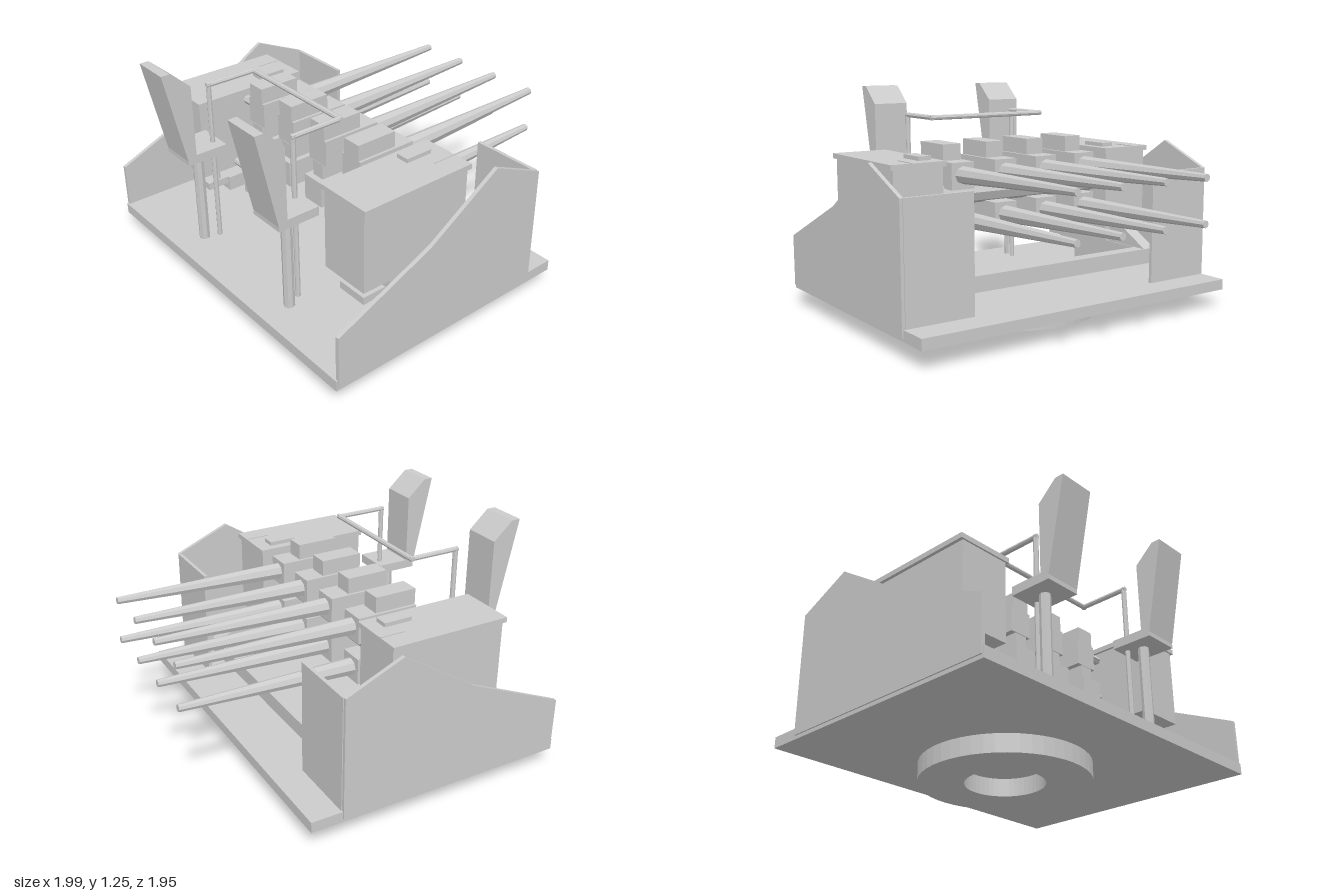
import * as THREE from 'three';

const mat = new THREE.MeshStandardMaterial({ color: 0xcccccc, flatShading: true });

export function createModel() {
  const root = new THREE.Group();

  const add = (name, geo) => {
    const m = new THREE.Mesh(geo, mat);
    m.name = name;
    root.add(m);
    return m;
  };
  // Box from its extents on each axis
  const box = (name, x0, x1, y0, y1, z0, z1) => {
    const m = add(name, new THREE.BoxGeometry(Math.abs(x1 - x0), y1 - y0, z1 - z0));
    m.position.set((x0 + x1) / 2, (y0 + y1) / 2, (z0 + z1) / 2);
    return m;
  };
  // Tapered rod between two points
  const rod = (name, a, b, r0, r1 = r0, sides = 8) => {
    const A = new THREE.Vector3(...a), B = new THREE.Vector3(...b);
    const d = B.clone().sub(A);
    const m = add(name, new THREE.CylinderGeometry(r1, r0, d.length(), sides));
    m.position.copy(A).add(B).multiplyScalar(0.5);
    m.quaternion.setFromUnitVectors(new THREE.Vector3(0, 1, 0), d.normalize());
    return m;
  };
  // Profile given as (z, y) pairs, extruded from x0 to x1
  const slab = (name, pts, x0, x1) => {
    const shape = new THREE.Shape(pts.map(([z, y]) => new THREE.Vector2(-z, y)));
    const lo = Math.min(x0, x1), w = Math.abs(x1 - x0);
    const geo = new THREE.ExtrudeGeometry(shape, { depth: w, bevelEnabled: false });
    geo.rotateY(Math.PI / 2);
    geo.translate(lo, 0, 0);
    return add(name, geo);
  };

  // Turntable ring and deck
  const ring = new THREE.Shape().absarc(0, 0, 0.46, 0, Math.PI * 2, false);
  ring.holes.push(new THREE.Path().absarc(0, 0, 0.215, 0, Math.PI * 2, true));
  const ringGeo = new THREE.ExtrudeGeometry(ring, { depth: 0.1, bevelEnabled: false, curveSegments: 24 });
  ringGeo.rotateX(-Math.PI / 2);
  add('turntableRing', ringGeo).position.z = 0.1;
  box('deck', -0.99, 0.99, 0.1, 0.16, -0.56, 0.92);

  // Cross frame and the beam carrying the guns
  box('frameCrossbar', -0.66, 0.66, 0.26, 0.345, -0.325, -0.245);
  rod('gunBeam', [-0.56, 0.7, 0.125], [0.56, 0.7, 0.125], 0.065);

  for (const s of [-1, 1]) {
    // Armour shields
    slab('sideShield', [[0.91, 0.12], [0.91, 0.41], [0.35, 0.655], [-0.07, 0.925],
      [-0.385, 0.79], [-0.385, 0.12]], s * 0.975, s * 0.997);
    box('endShield', s * 0.59, s * 0.98, 0.13, 0.79, -0.39, -0.37);

    // Frame arm and post under the ammunition box
    box('frameArm', s * 0.585, s * 0.66, 0.26, 0.345, -0.25, 0.45);
    box('framePost', s * 0.585, s * 0.66, 0.16, 0.44, 0, 0.3);
    slab('frameBrace', [[-0.325, 0.3], [-0.325, 0.345], [-0.04, 0.5], [0, 0.3]], s * 0.59, s * 0.665);

    // Ammunition box with lid, hatch and latch
    box('ammoBox', s * 0.55, s * 0.84, 0.43, 0.88, -0.03, 0.63);
    box('ammoLid', s * 0.535, s * 0.858, 0.872, 0.9, -0.04, 0.64);
    box('lidHatch', s * 0.58, s * 0.655, 0.9, 0.922, 0.04, 0.2);
    box('lidLatch', s * 0.737, s * 0.743, 0.9, 0.904, -0.04, 0.1);

    // Foot pedal with hanger
    box('pedal', s * 0.6, s * 0.78, 0.303, 0.345, 0.44, 0.58);
    rod('pedalHanger', [s * 0.625, 0.33, 0.5], [s * 0.625, 0.45, 0.5], 0.012);
    rod('pedalPivot', [s * 0.66, 0.295, 0.5], [s * 0.71, 0.295, 0.5], 0.018);

    // Feed links between guns and boxes
    rod('crankShaft', [s * 0.485, 0.46, 0.41], [s * 0.56, 0.46, 0.41], 0.022);
    for (const y of [0.595, 0.83]) {
      for (const z of [0.22, 0.27, 0.32]) {
        rod('feedLink', [s * 0.47, y, z], [s * 0.56, y, z], 0.024, 0.024, 6);
      }
    }

    // Seat on its post
    rod('seatPost', [s * 0.4, 0.15, 0.75], [s * 0.4, 0.71, 0.75], 0.03);
    box('seat', s * 0.295, s * 0.505, 0.705, 0.755, 0.63, 0.865);
    slab('seatBack', [[0.865, 0.73], [0.975, 1.25], [0.925, 1.25], [0.815, 1.15],
      [0.815, 0.73]], s * 0.295, s * 0.505);

    // Handrail uprights and arms
    rod('railUpright', [s * 0.367, 0.15, 0.67], [s * 0.367, 1.1, 0.67], 0.014);
    rod('railArm', [s * 0.367, 1.09, 0.682], [s * 0.367, 1.09, 0.375], 0.014);
  }
  rod('railCrossbar', [-0.38, 1.09, 0.385], [0.38, 1.09, 0.385], 0.014);

  // Four columns of two guns each
  for (const x of [-0.41, -0.137, 0.137, 0.41]) {
    for (const [y, zEnd] of [[0.81, 0.35], [0.575, 0.385]]) {
      rod('barrel', [x, y, 0.07], [x, y + 0.03, -0.97], 0.05, 0.02);
      box('receiver', x - 0.07, x + 0.07, y - 0.075, y + 0.07, 0, zEnd);
      const w = y > 0.7 ? 0.055 : 0.04;
      box('receiverCover', x - w, x + w, y + 0.07, y + 0.158, 0.11, 0.35);
    }
  }

  return root;
}
